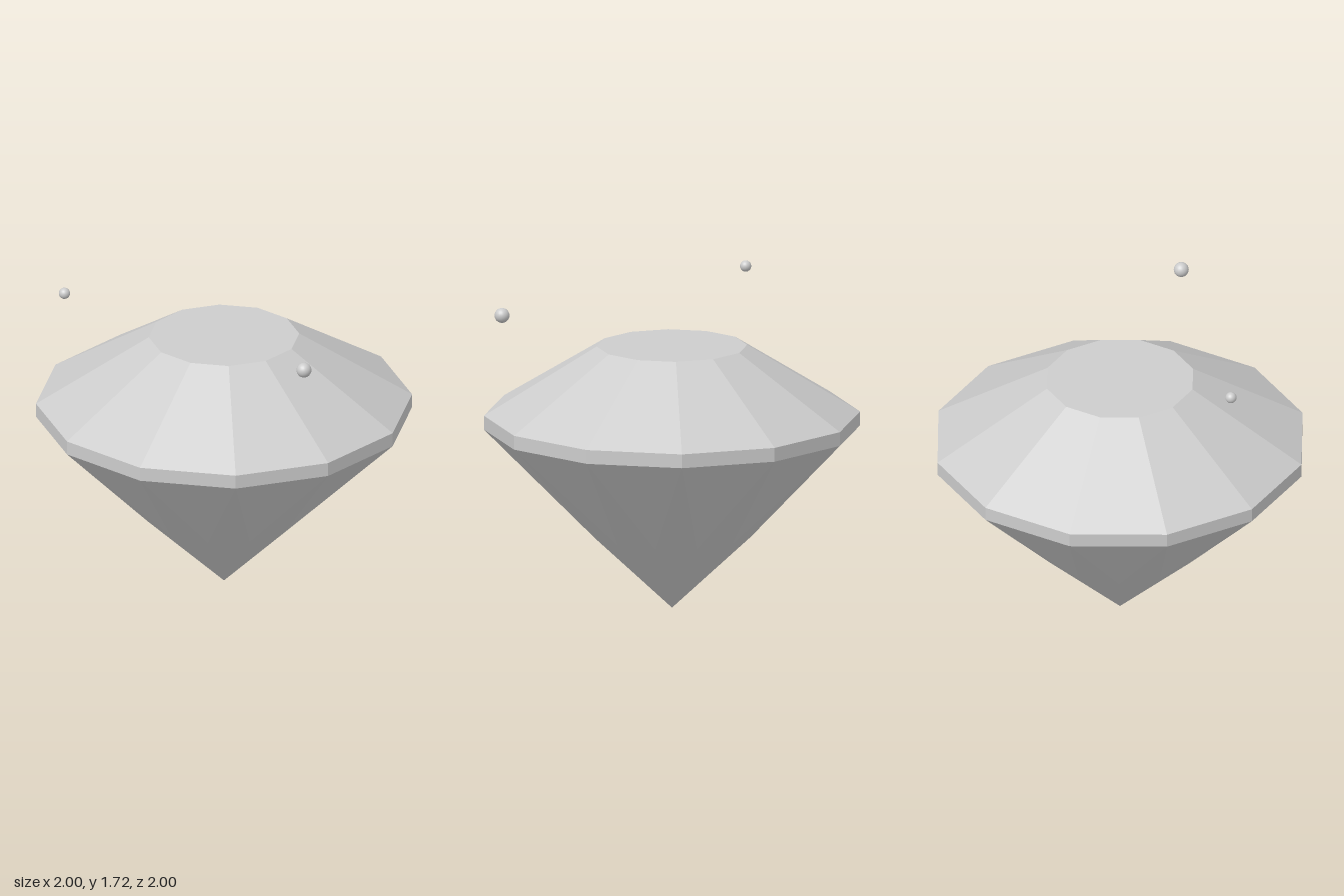
import * as THREE from 'three';

const SIDES = 12;
const STEP = (Math.PI * 2) / SIDES;

// Point on a ring; i may be fractional to land between two corners
const ringPoint = (radius, y, i) =>
  [radius * Math.sin(i * STEP), y, radius * Math.cos(i * STEP)];

// Flat-faceted geometry from convex polygons wound counter-clockwise
function facets(polygons) {
  const positions = [];
  for (const p of polygons) {
    for (let k = 1; k < p.length - 1; k++) positions.push(...p[0], ...p[k], ...p[k + 1]);
  }
  const geometry = new THREE.BufferGeometry();
  geometry.setAttribute('position', new THREE.Float32BufferAttribute(positions, 3));
  geometry.computeVertexNormals();
  return geometry;
}

export function createModel() {
  const model = new THREE.Group();
  model.name = 'cutGem';

  const gemGrey = new THREE.MeshStandardMaterial({ color: 0xcccccc });
  gemGrey.name = 'gemGrey';

  const add = (name, geometry, parent = model) => {
    const mesh = new THREE.Mesh(geometry, gemGrey);
    mesh.name = name;
    parent.add(mesh);
    return mesh;
  };

  const topY = 1.425, girdleTop = 1.055, girdleBottom = 0.98, ringY = 0.405;
  const tableRadius = 0.4, ringRadius = 0.428;
  const table = [], crown = [], girdle = [], pavilion = [];
  const culet = [0, 0, 0];

  for (let i = 0; i < SIDES; i++) {
    const t0 = ringPoint(tableRadius, topY, i), t1 = ringPoint(tableRadius, topY, i + 1);
    const u0 = ringPoint(1, girdleTop, i), u1 = ringPoint(1, girdleTop, i + 1);
    const l0 = ringPoint(1, girdleBottom, i), l1 = ringPoint(1, girdleBottom, i + 1);
    const before = ringPoint(ringRadius, ringY, i - 0.5);
    const after = ringPoint(ringRadius, ringY, i + 0.5);
    table.push(t0);
    crown.push([u0, u1, t1, t0]);
    girdle.push([l0, l1, u1, u0]);
    // Long kite below each corner, slim triangle between neighbouring kites
    pavilion.push([l0, before, culet, after], [l0, after, l1]);
  }

  add('table', facets([table]));
  add('crown', facets(crown));
  add('girdle', facets(girdle));
  add('pavilion', facets(pavilion));

  // Small floating sparkles
  const sparkles = new THREE.Group();
  sparkles.name = 'sparkles';
  model.add(sparkles);
  for (const [x, y, z, r] of [[0.735, 1.58, 0.525, 0.04], [-0.738, 1.69, 0.418, 0.03]]) {
    add('sparkle', new THREE.SphereGeometry(r, 20, 14), sparkles).position.set(x, y, z);
  }
  return model;
}
